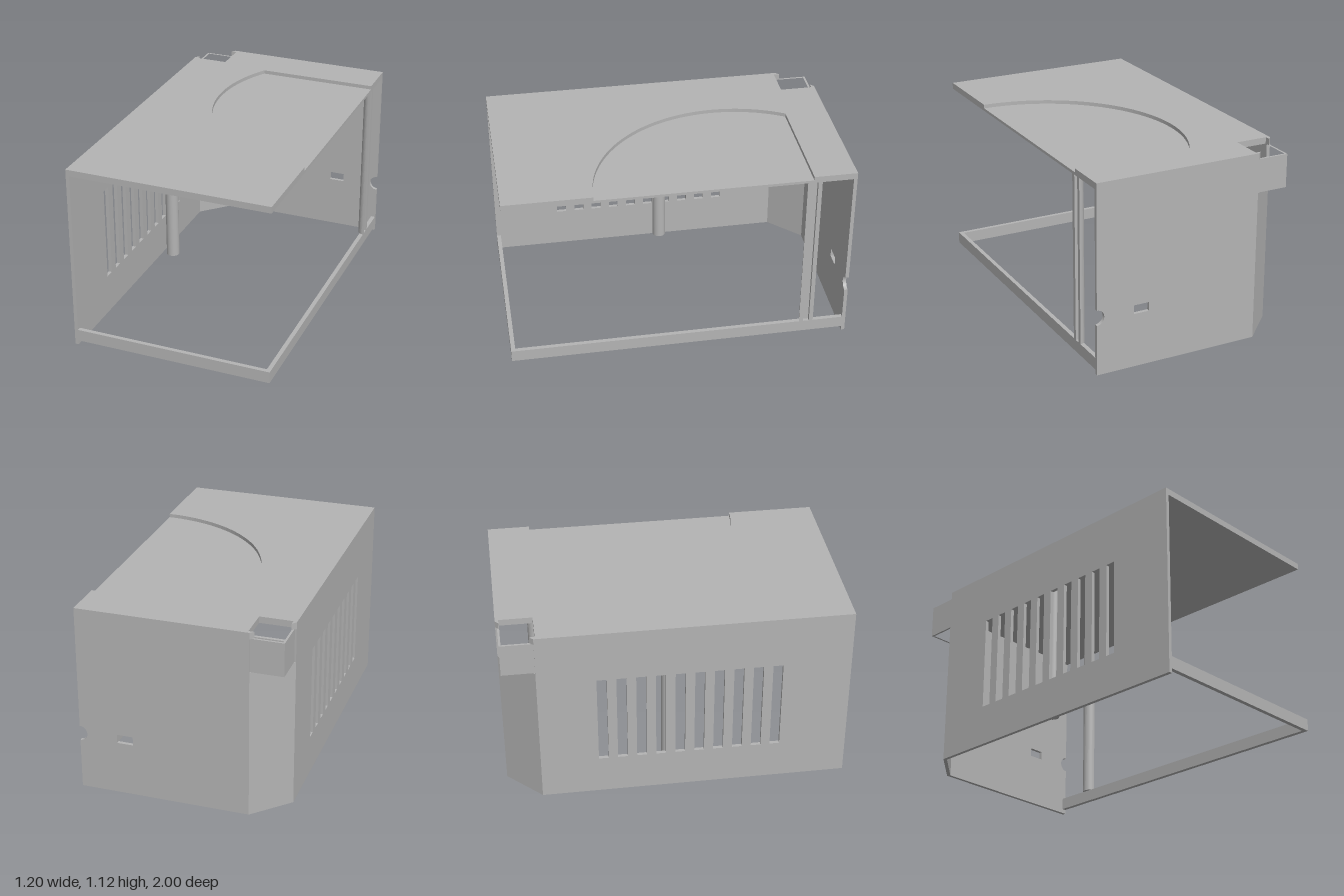
import * as THREE from 'three';

export function createModel() {
  const group = new THREE.Group();
  const grey = new THREE.MeshStandardMaterial({ color: 0xb4b4b4 });
  grey.name = 'plain grey';

  const add = (name, geometry) => {
    const mesh = new THREE.Mesh(geometry, grey);
    mesh.name = name;
    group.add(mesh);
    return mesh;
  };
  const path = (points, Type = THREE.Shape) => new Type(points.map(([x, y]) => new THREE.Vector2(x, y)));
  const rect = (x0, y0, x1, y1) => path([[x0, y0], [x1, y0], [x1, y1], [x0, y1]], THREE.Path);
  const extrude = (shape, depth) => new THREE.ExtrudeGeometry(shape, { depth, bevelEnabled: false, curveSegments: 32 });
  const arc = (cx, cz, r, a0, a1, n) => Array.from({ length: n + 1 }, (_, i) => {
    const a = a0 + (a1 - a0) * i / n;
    return [cx + r * Math.cos(a), cz + r * Math.sin(a)];
  });
  // Upright prism from an outline of [x, z] points
  const prism = (name, outline, y0, y1, holes = []) => {
    const flip = (pts) => pts.map(([x, z]) => [x, -z]);
    const shape = path(flip(outline));
    holes.forEach((h) => shape.holes.push(path(flip(h), THREE.Path)));
    const g = extrude(shape, y1 - y0);
    g.rotateX(-Math.PI / 2);
    g.translate(0, y0, 0);
    return add(name, g);
  };
  const square = (x0, z0, x1, z1) => [[x0, z0], [x1, z0], [x1, z1], [x0, z1]];

  // Top plate: full lower layer, upper layer with the round recess cut away
  const corner = [[-0.4, -1], [-0.42, -0.98], [-0.388, -0.98], [-0.388, -0.79],
    [-0.578, -0.79], [-0.578, -0.822], [-0.6, -0.8]];
  prism('topPlateLower', [[-0.6, 1], [0.6, 1], [0.6, -1], ...corner], 1.082, 1.098);
  const end = Math.PI + Math.asin(0.42 / 0.82);
  prism('topPlateUpper', [[-0.6, 1], [0.6, 1], ...arc(0.6, -0.33, 0.82, Math.PI / 2, end, 40),
    [0.6, -0.75], [0.6, -1], ...corner], 1.098, 1.12);

  // Side wall with ten vent slots, drawn in (z, y)
  const side = path([[-0.8, 0], [1, 0], [1, 1.082], [-0.8, 1.082]]);
  for (let i = 0; i < 10; i++) {
    const z = 0.574 - i * 0.112;
    side.holes.push(rect(z - 0.029, 0.24, z + 0.029, 0.805));
  }
  const sideGeometry = extrude(side, 0.021);
  sideGeometry.rotateY(-Math.PI / 2);
  add('ventedSideWall', sideGeometry).position.x = -0.579;

  // Back wall with a small slot and a half-round cable notch
  const back = new THREE.Shape();
  back.moveTo(-0.4, 0);
  back.lineTo(0.6, 0);
  back.lineTo(0.6, 0.3);
  back.absarc(0.6, 0.345, 0.045, -Math.PI / 2, Math.PI / 2, true);
  back.lineTo(0.6, 1.082);
  back.lineTo(-0.4, 1.082);
  back.holes.push(rect(0.28, 0.32, 0.375, 0.372));
  add('backWall', extrude(back, 0.021)).position.z = -1;

  // Slanted corner wall and the square sleeve above it
  prism('cornerWall', [[-0.6, -0.8], [-0.579, -0.792], [-0.392, -0.979], [-0.4, -1]], 0, 0.885);
  prism('cornerSleeve', square(-0.59, -0.99, -0.375, -0.776), 0.885, 1.082,
    [square(-0.578, -0.978, -0.388, -0.79)]);

  // Bottom rails along the front and the open side
  prism('bottomRails', [[-0.58, 1], [0.6, 1], [0.6, -0.98], [0.575, -0.98], [0.575, 0.975], [-0.58, 0.975]], 0.027, 0.098);

  // Grooved half-round post at the open side
  prism('groovedPost', [...arc(0.6, -0.757, 0.042, Math.PI / 2, Math.PI * 1.5, 20),
    [0.6, -0.775], [0.58, -0.775], [0.58, -0.74], [0.6, -0.74]], 0.098, 1.082);

  // Hanging support rod with a blind screw hole in its lower end
  const rod = [[0, 0.3], [0.018, 0.3], [0.018, 0.098], [0.04, 0.098], [0.04, 1.085]];
  const pieces = rod.slice(1).map((p, i) => [rod[i], p]);
  pieces.forEach((pair, i) => {
    const g = new THREE.LatheGeometry(pair.map(([x, y]) => new THREE.Vector2(x, y)), 32);
    add(['rodHoleEnd', 'rodHole', 'rodRim', 'supportRod'][i], g).position.set(-0.44, 0, -0.037);
  });

  return group;
}
